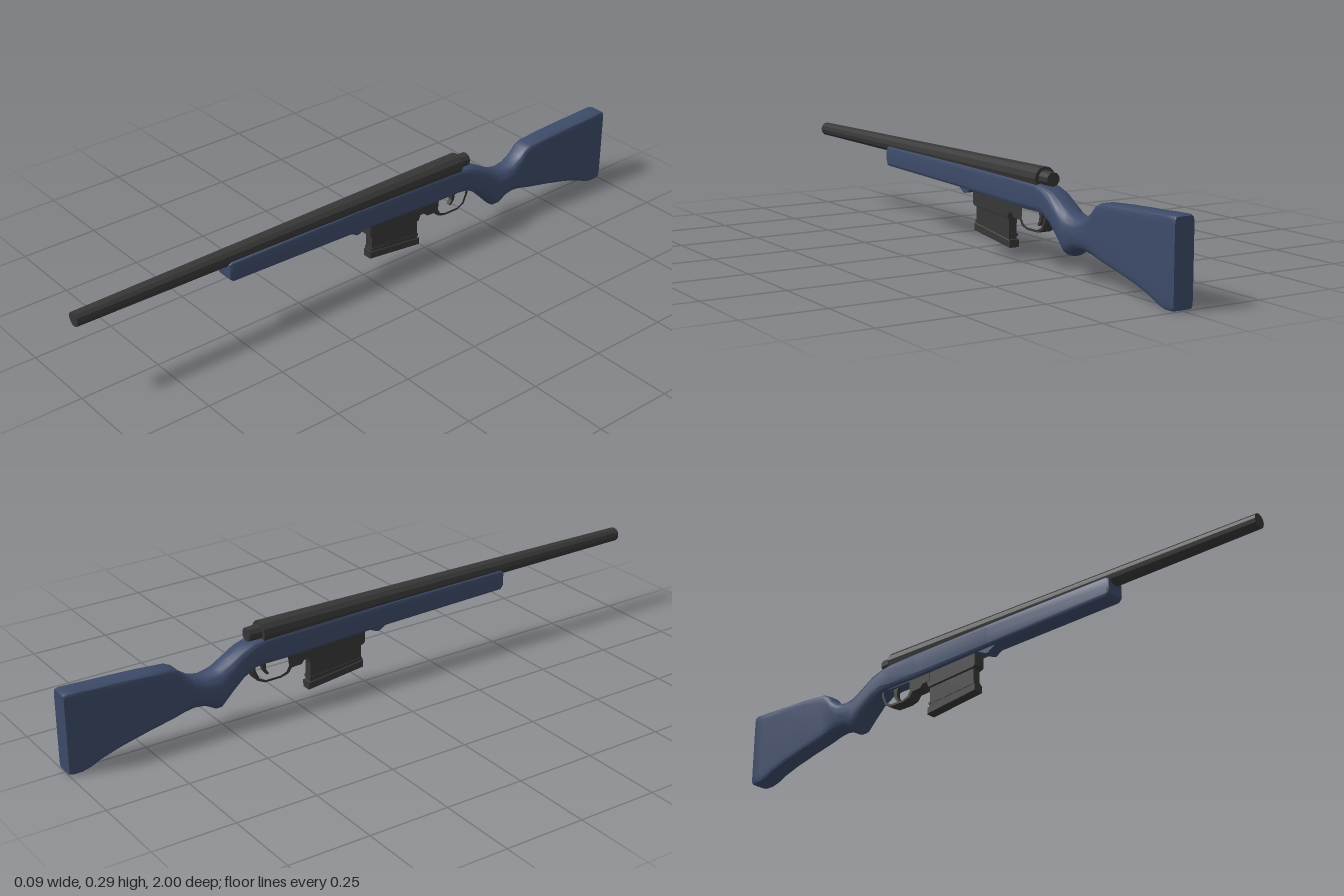
import * as THREE from 'three';
import { toCreasedNormals } from 'three/addons/utils/BufferGeometryUtils.js';

const blue = new THREE.MeshStandardMaterial({ color: 0x3d4b69 });
const dark = new THREE.MeshStandardMaterial({ color: 0x373737 });
const darkFlat = new THREE.MeshStandardMaterial({ color: 0x373737, flatShading: true });

function part(name, geometry, material) {
  const mesh = new THREE.Mesh(geometry, material);
  mesh.name = name;
  return mesh;
}

// Side profile of [z, y] points extruded across x to the given width
function plate(name, points, width, material, hole, bevel = 0) {
  const toVectors = (list) => list.map(([z, y]) => new THREE.Vector2(z, y));
  const shape = new THREE.Shape(toVectors(points));
  if (hole) shape.holes.push(new THREE.Path(toVectors(hole)));
  const depth = width - 2 * bevel;
  const g = new THREE.ExtrudeGeometry(shape, {
    depth, bevelEnabled: bevel > 0, bevelSize: bevel, bevelOffset: -bevel,
    bevelThickness: bevel, bevelSegments: 1,
  });
  g.translate(0, 0, -depth / 2).rotateY(-Math.PI / 2);
  return part(name, g, material);
}

// Tapered round bar along z, from z0 (radius r0) to z1 (radius r1)
function bar(name, z0, z1, r0, r1, y, sides) {
  const g = new THREE.CylinderGeometry(r1, r0, z1 - z0, sides);
  g.rotateX(Math.PI / 2).translate(0, y, (z0 + z1) / 2);
  return part(name, g, darkFlat);
}

// Superellipse cross-sections joined along z: [z, bottom, top, half width, squareness]
function loft(rows, count) {
  const pos = [], index = [];
  const bend = (v, n) => Math.sign(v) * Math.abs(v) ** (2 / n);
  for (const [z, bottom, top, w, n] of rows) {
    for (let i = 0; i < count; i++) {
      const a = (i / count) * Math.PI * 2;
      pos.push(w * bend(Math.cos(a), n),
        (top + bottom) / 2 + ((top - bottom) / 2) * bend(Math.sin(a), n), z);
    }
  }
  for (let r = 0; r < rows.length - 1; r++) {
    for (let i = 0; i < count; i++) {
      const a = r * count + i, b = r * count + ((i + 1) % count);
      index.push(a, a + count, b, b, a + count, b + count);
    }
  }
  // End caps
  const last = (rows.length - 1) * count;
  for (let i = 1; i < count - 1; i++) {
    index.push(0, i, i + 1);
    index.push(last, last + i + 1, last + i);
  }
  const g = new THREE.BufferGeometry();
  g.setAttribute('position', new THREE.Float32BufferAttribute(pos, 3));
  g.setIndex(index);
  return toCreasedNormals(g, 0.7);
}

const stockRows = [
  [0.51, 0.2, 0.25, 0.03, 8],
  [0.5, 0.191, 0.255, 0.033, 8],
  [0.05, 0.181, 0.253, 0.033, 8],
  [-0.25, 0.169, 0.249, 0.033, 8],
  [-0.36, 0.168, 0.247, 0.034, 6],
  [-0.4, 0.162, 0.243, 0.036, 4.5],
  [-0.44, 0.138, 0.232, 0.04, 3.2],
  [-0.48, 0.1, 0.21, 0.044, 2.6],
  [-0.515, 0.064, 0.191, 0.047, 2.4],
  [-0.53, 0.064, 0.185, 0.047, 2.4],
  [-0.565, 0.084, 0.177, 0.044, 2.5],
  [-0.6, 0.089, 0.184, 0.039, 3],
  [-0.63, 0.085, 0.204, 0.035, 4],
  [-0.65, 0.081, 0.224, 0.033, 5.5],
  [-0.67, 0.077, 0.233, 0.033, 7],
  [-0.75, 0.062, 0.238, 0.033, 10],
  [-0.84, 0.041, 0.242, 0.033, 12],
  [-0.9, 0.022, 0.244, 0.033, 12],
  [-0.935, 0.006, 0.246, 0.033, 12],
  [-0.96, 0, 0.247, 0.033, 12],
  [-0.99, 0, 0.248, 0.033, 12],
  [-1, 0.003, 0.245, 0.031, 12],
];

export function createModel() {
  const model = new THREE.Group();
  model.name = 'rifle';

  // Stock with grip and butt, and the small lug ahead of the magazine
  model.add(part('stock', loft(stockRows, 40), blue));
  model.add(plate('magazineLug',
    [[0.075, 0.19], [0.065, 0.178], [0.04, 0.164], [0.03, 0.166], [0, 0.18], [0, 0.19]], 0.04, blue));

  // Barrel and bolt end
  model.add(bar('barrel', -0.37, 1, 0.0345, 0.022, 0.26, 12));
  model.add(bar('boltShroud', -0.412, -0.36, 0.021, 0.023, 0.262, 10));

  // Magazine: wide top, narrower body, rib and slanted foot
  const magazine = new THREE.Group();
  magazine.name = 'magazine';
  magazine.add(plate('magazineWell',
    [[-0.01, 0.185], [-0.01, 0.14], [-0.018, 0.134], [-0.205, 0.122], [-0.212, 0.14], [-0.212, 0.185]],
    0.04, dark, null, 0.002));
  magazine.add(plate('magazineBody',
    [[-0.022, 0.15], [-0.022, 0.07], [-0.203, 0.05], [-0.203, 0.15]], 0.027, dark));
  magazine.add(plate('magazineRib',
    [[-0.019, 0.091], [-0.019, 0.083], [-0.206, 0.067], [-0.206, 0.075]], 0.031, dark));
  magazine.add(plate('magazineFoot',
    [[-0.014, 0.082], [-0.014, 0.058], [-0.211, 0.035], [-0.211, 0.058]], 0.034, dark, null, 0.002));
  model.add(magazine);

  // Trigger housing and guard loop
  model.add(plate('triggerGuard',
    [[-0.2, 0.185], [-0.2, 0.142], [-0.228, 0.142], [-0.238, 0.13], [-0.272, 0.128], [-0.284, 0.112],
      [-0.31, 0.105], [-0.365, 0.105], [-0.39, 0.117], [-0.405, 0.15], [-0.405, 0.18]],
    0.042, dark,
    [[-0.285, 0.165], [-0.282, 0.135], [-0.292, 0.119], [-0.312, 0.112], [-0.362, 0.112],
      [-0.383, 0.122], [-0.396, 0.151], [-0.396, 0.165]]));
  model.add(plate('trigger',
    [[-0.345, 0.175], [-0.352, 0.153], [-0.352, 0.138], [-0.342, 0.122], [-0.35, 0.121],
      [-0.362, 0.136], [-0.365, 0.153], [-0.37, 0.175]], 0.014, dark));

  return model;
}
